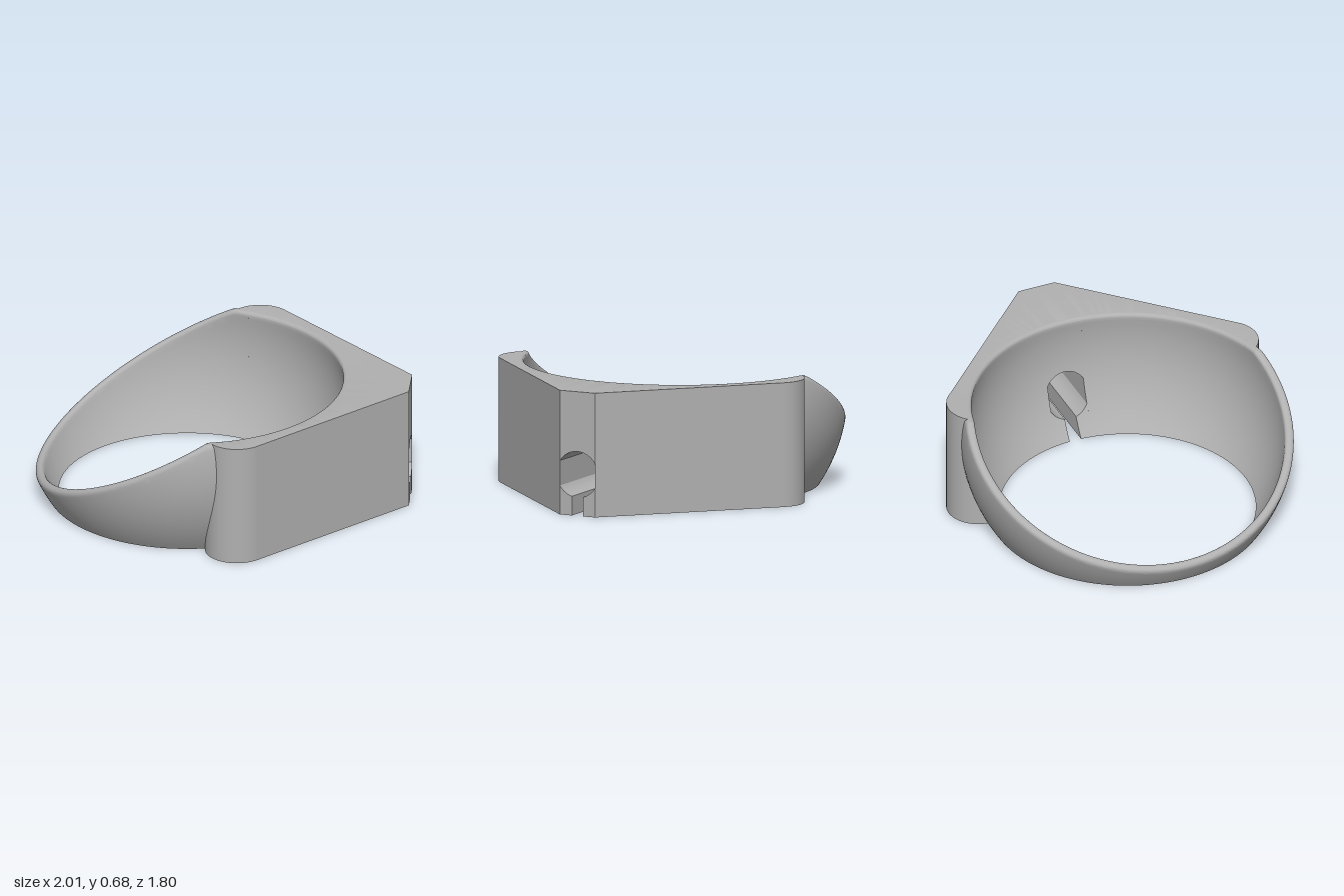
import * as THREE from 'three';
import { toCreasedNormals } from 'three/addons/utils/BufferGeometryUtils.js';

const AXIS = -0.2;          // x of the ring's vertical axis
const MID = 0.5;            // height of the spheres' centre
const TOP = 0.675;
const HOLE = 0.105;         // half width of the hole and the narrow face
const SLOT = 0.033;         // half width of the slot under the hole

const sphere = (r, y) => Math.sqrt(r * r - (y - MID) ** 2);
const outerR = (y) => sphere(0.9, y);
const innerR = (y) => sphere(0.85, y);
// Inner radius of the block, with a rounded upper rim
const FILLET = 0.025;
function rimR(y) {
  const d = Math.max(0, y - (TOP - FILLET));
  return innerR(y) + FILLET - Math.sqrt(Math.max(0, FILLET * FILLET - d * d));
}
const polar = (r, a, y) => [AXIS + r * Math.cos(a), y, r * Math.sin(a)];

// Joins closed sections (inner side going up, outer side going down) and caps both ends
function loft(sections) {
  const n = sections[0].length, m = sections.length, index = [];
  for (let i = 0; i < m - 1; i++) {
    for (let s = 0; s < n; s++) {
      const a = i * n + s, b = i * n + (s + 1) % n;
      index.push(a, a + n, b, b, a + n, b + n);
    }
  }
  const e = (m - 1) * n;
  for (let k = 0; k < n / 2 - 1; k++) {
    const p = k, q = k + 1, r = n - 2 - k, t = n - 1 - k;
    index.push(p, q, t, q, r, t);
    index.push(e + p, e + t, e + q, e + q, e + t, e + r);
  }
  const geo = new THREE.BufferGeometry();
  geo.setAttribute('position', new THREE.Float32BufferAttribute(sections.flat(2), 3));
  geo.setIndex(index);
  return toCreasedNormals(geo, 0.5);
}
const mirror = (sections) =>
  sections.map((s) => s.map(([x, y, z]) => [x, y, -z])).reverse();

// One section of the block between two heights
function blockSection(y0, y1, inner, outer) {
  const ys = [];
  for (let j = 0; j <= 18; j++) ys.push(y0 + (y1 - y0) * j / 18);
  // extra levels for the rounded rim
  for (let j = 1; j <= 6; j++) {
    ys.push(y1 - FILLET * (1 - Math.sin(j / 6 * Math.PI / 2)));
  }
  ys.sort((a, b) => a - b);
  return [...ys.map(inner), ...ys.slice().reverse().map(outer)];
}
const flatInner = (z) => (y) => [AXIS + Math.sqrt(rimR(y) ** 2 - z * z), y, z];

// Half of the block: sloping side, then the rounded corner running into the band
function sideSections() {
  const pts = [];
  for (let i = 0; i <= 36; i++) {
    const t = i / 36;
    pts.push([1 - 0.75 * t, HOLE + (0.85 - HOLE) * t]);
  }
  for (let i = 1; i <= 24; i++) {
    const a = Math.PI / 4 + (i / 24) * Math.PI * 0.75;
    pts.push([0.13 + 0.17 * Math.cos(a), 0.73 + 0.17 * Math.sin(a)]);
  }
  return pts.map(([x, z], i) => {
    const a = Math.atan2(z, x - AXIS), d = Math.hypot(x - AXIS, z);
    // the first sections ease from the flat hole wall to the radial direction
    const ease = Math.max(0, 1 - i / 6);
    const inner = (y) => {
      const r = rimR(y);
      return polar(r, a + ease * (Math.asin(HOLE / r) - Math.atan2(HOLE, 1 - AXIS)), y);
    };
    const outer = (y) => polar(Math.max(d, rimR(y) + 0.01), a, y);
    return blockSection(0, TOP, inner, outer);
  });
}

// Middle strip of the block between heights that vary with z
function middleSections(z0, z1, low, high) {
  const out = [];
  for (let i = 0; i <= 24; i++) {
    const z = z0 + (z1 - z0) * i / 24;
    out.push(blockSection(low(z), high(z), flatInner(z), (y) => [1, y, z]));
  }
  return out;
}
const arch = (z) => Math.sqrt(0.125 ** 2 - z * z);

// Band: spherical shell cut by a sloping plane, with a rounded lip
function bandSections() {
  const cut = (x) => Math.min(TOP, TOP + 0.551 * (x + 0.02));
  const cutHeight = (radius, a) => {
    let y = 0.4;
    for (let k = 0; k < 60; k++) {
      y = (y + Math.max(0.05, cut(AXIS + radius(y) * Math.cos(a)))) / 2;
    }
    return y;
  };
  const bend = (p, c, q, t) =>
    p.map((v, k) => (1 - t) ** 2 * v + 2 * t * (1 - t) * c[k] + t * t * q[k]);
  const out = [], start = THREE.MathUtils.degToRad(72), steps = 128, n = 16;
  for (let i = 0; i <= steps; i++) {
    const a = start + (2 * Math.PI - 2 * start) * i / steps;
    const yi = cutHeight(innerR, a), yo = cutHeight(outerR, a);
    const at = (radius, y) => polar(radius(y), a, y);
    const ci = at(innerR, yi), co = at(outerR, yo);
    const mid = ci.map((v, k) => (v + co[k]) / 2);
    const A = at(innerR, yi - 0.028), B = at(outerR, yo - 0.028);
    const up = [], down = [];
    for (let j = 0; j < n; j++) {
      up.push(at(innerR, (yi - 0.028) * j / n));
      down.push(at(outerR, (yo - 0.028) * j / n));
    }
    for (let j = 0; j <= 6; j++) {
      up.push(bend(A, ci, mid, j / 6));
      down.push(bend(B, co, mid, j / 6));
    }
    out.push([...up, ...down.reverse()]);
  }
  return out;
}

export function createModel() {
  const group = new THREE.Group();
  const metal = new THREE.MeshStandardMaterial({ color: 0xb0b0b0 });
  metal.name = 'grey';
  const add = (name, sections) => {
    const mesh = new THREE.Mesh(loft(sections), metal);
    mesh.name = name;
    group.add(mesh);
  };

  add('band', bandSections());

  const side = sideSections();
  add('blockFrontSide', side);
  add('blockBackSide', mirror(side));

  // Bridge above the hole, and the two feet beside the slot
  add('bridge', middleSections(-HOLE, HOLE, (z) => 0.225 + arch(z), () => TOP));
  const foot = middleSections(SLOT, HOLE, () => 0, (z) => 0.225 - arch(z));
  add('frontFoot', foot);
  add('backFoot', mirror(foot));

  return group;
}
